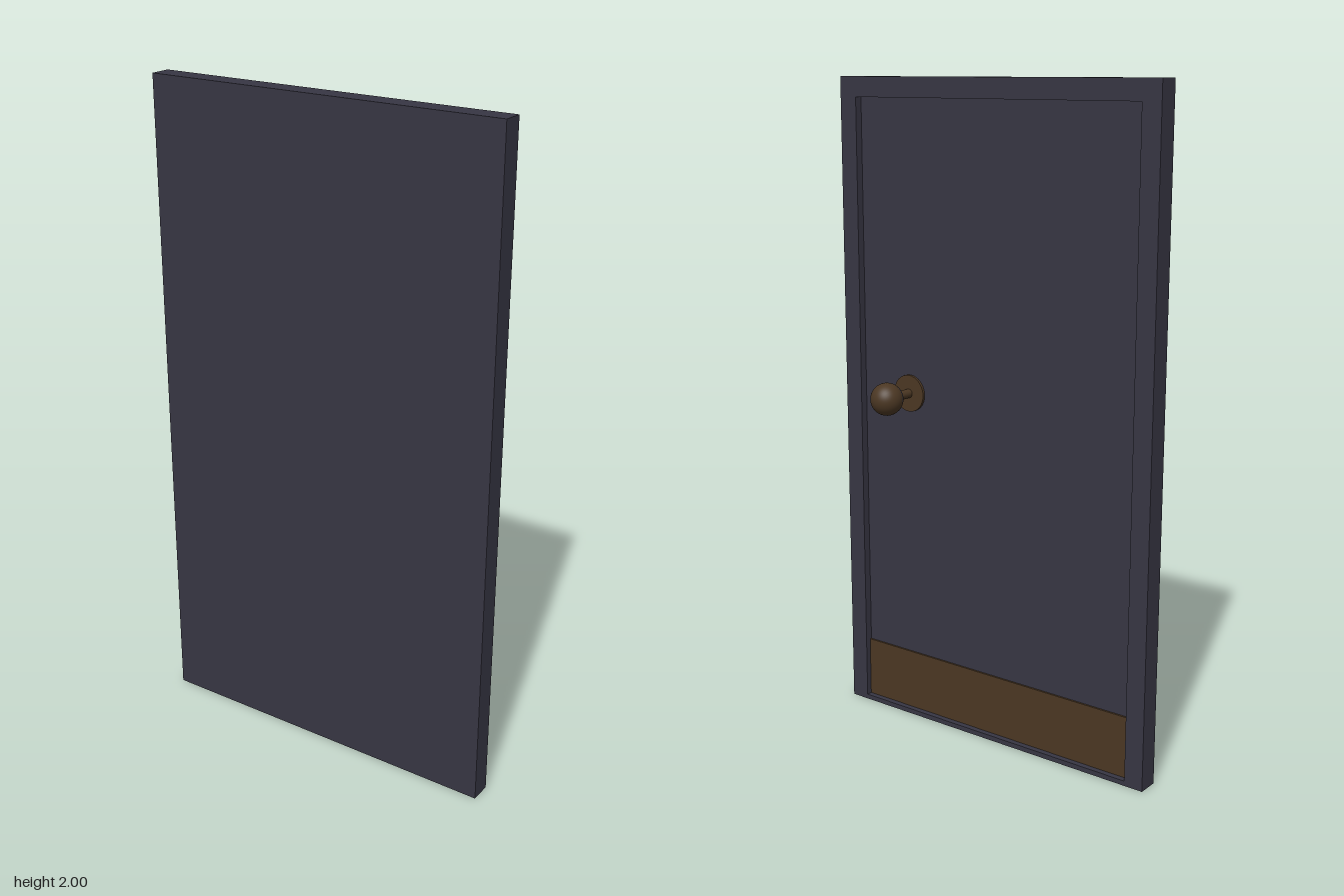
import * as THREE from 'three';

const doorPaint = new THREE.MeshStandardMaterial({ color: 0x373643 });
doorPaint.name = 'dark slate paint';
const brass = new THREE.MeshStandardMaterial({ color: 0x4b3723 });
brass.name = 'aged brass';

// Overall sizes
const HALF_W = 0.557, HEIGHT = 2;
const Z_BACK = 0.035, Z_PANEL = 0.059, Z_FRONT = 0.1;
const RIM = 0.06, SILL = 0.015;
const KNOB = { x: 0.317, y: 1.055, z: -0.051, r: 0.05 };

function add(parent, name, geometry, material, x = 0, y = 0, z = 0) {
  const mesh = new THREE.Mesh(geometry, material);
  mesh.name = name;
  mesh.position.set(x, y, z);
  parent.add(mesh);
  return mesh;
}

// Cylinder running along z between two depths
function rod(parent, name, radius, z0, z1) {
  const geometry = new THREE.CylinderGeometry(radius, radius, z1 - z0, 32).rotateX(Math.PI / 2);
  return add(parent, name, geometry, brass, 0, 0, (z0 + z1) / 2);
}

export function createModel() {
  const model = new THREE.Group();
  model.name = 'door';

  // Solid slab, plain on the front
  const depth = Z_FRONT - Z_PANEL;
  add(model, 'doorPanel', new THREE.BoxGeometry(HALF_W * 2, HEIGHT, depth), doorPaint,
    0, HEIGHT / 2, Z_PANEL + depth / 2);

  // Raised rim around the recessed back, with a low sill
  const outline = new THREE.Shape();
  outline.moveTo(-HALF_W, 0).lineTo(HALF_W, 0).lineTo(HALF_W, HEIGHT).lineTo(-HALF_W, HEIGHT).closePath();
  const inner = HALF_W - RIM, top = HEIGHT - RIM;
  const opening = new THREE.Path();
  opening.moveTo(-inner, SILL).lineTo(-inner, top).lineTo(inner, top).lineTo(inner, SILL).closePath();
  outline.holes.push(opening);
  add(model, 'frame', new THREE.ExtrudeGeometry(outline, { depth: Z_PANEL - Z_BACK, bevelEnabled: false }),
    doorPaint, 0, 0, Z_BACK);

  // Kick plate across the bottom of the recess
  const plateH = 0.19;
  add(model, 'kickPlate', new THREE.BoxGeometry(inner * 2, plateH, 0.006), brass,
    0, SILL + plateH / 2, Z_PANEL - 0.003);

  // Handle: rosette, stem and ball
  const handle = new THREE.Group();
  handle.name = 'handle';
  handle.position.set(KNOB.x, KNOB.y, 0);
  model.add(handle);
  rod(handle, 'rosette', 0.057, Z_PANEL - 0.008, Z_PANEL);
  rod(handle, 'stem', 0.014, KNOB.z, Z_PANEL);

  // Ball is brass with a painted cap towards the door
  const split = THREE.MathUtils.degToRad(67);
  const ball = (from, to) =>
    new THREE.SphereGeometry(KNOB.r, 32, 20, 0, Math.PI * 2, from, to - from).rotateX(Math.PI / 2);
  add(handle, 'knob', ball(split, Math.PI), brass, 0, 0, KNOB.z);
  add(handle, 'knobInnerCap', ball(0, split), doorPaint, 0, 0, KNOB.z);

  return model;
}
